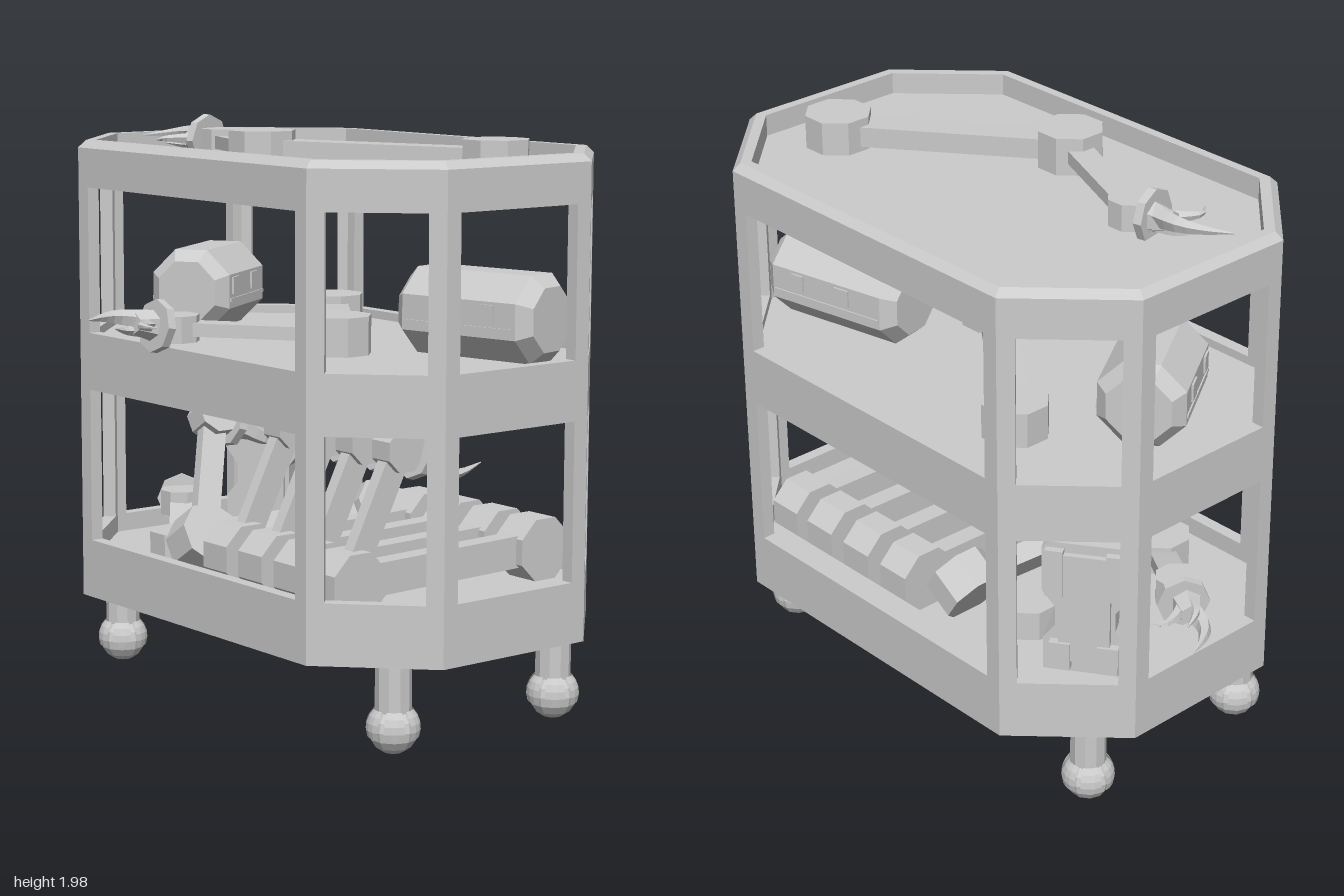
import * as THREE from 'three';

const mat = new THREE.MeshStandardMaterial({ color: 0xcccccc, flatShading: true, side: THREE.DoubleSide });
const V = (x, y, z) => new THREE.Vector3(x, y, z);
const UP = V(0, 1, 0);

function add(parent, name, geometry, x = 0, y = 0, z = 0) {
  const mesh = new THREE.Mesh(geometry, mat);
  mesh.name = name;
  mesh.position.set(x, y, z);
  parent.add(mesh);
  return mesh;
}

function orient(object, x, y, z) {
  object.quaternion.setFromRotationMatrix(new THREE.Matrix4().makeBasis(x, y, z));
}

// Chamfered rectangle outline of the cabinet, counterclockwise, moved inwards by d
function outline(d = 0) {
  const hx = 0.9475 - d, hz = 0.615 - d, c = 0.31 - d * (2 - Math.SQRT2);
  return [[hx, -hz + c], [hx, hz - c], [hx - c, hz], [-hx + c, hz],
    [-hx, hz - c], [-hx, -hz + c], [-hx + c, -hz], [hx - c, -hz]].map(p => new THREE.Vector2(...p));
}

// Skin through cabinet outlines given as [inset, height]
function loftOutline(steps) {
  const pos = [], index = [];
  steps.forEach(([d, y]) => outline(d).forEach(p => pos.push(p.x, y, -p.y)));
  for (let r = 0; r < steps.length - 1; r++) {
    for (let i = 0; i < 8; i++) {
      const a = r * 8 + i, b = r * 8 + (i + 1) % 8;
      index.push(a, b, a + 8, b, b + 8, a + 8);
    }
  }
  const g = new THREE.BufferGeometry();
  g.setAttribute('position', new THREE.Float32BufferAttribute(pos, 3));
  g.setIndex(index);
  g.computeVertexNormals();
  return g;
}

function rect(path, x0, y0, x1, y1) {
  path.moveTo(x0, y0).lineTo(x1, y0).lineTo(x1, y1).lineTo(x0, y1).closePath();
  return path;
}

function cabinet() {
  const g = new THREE.Group();
  g.name = 'cabinet';
  g.position.set(0.0175, 0, -0.16);
  const T = 0.045, m = 0.057, pts = outline();
  // Eight wall panels, each with two windows
  pts.forEach((p, i) => {
    const q = pts[(i + 1) % 8];
    const a = V(p.x, 0, -p.y), b = V(q.x, 0, -q.y);
    const h = a.distanceTo(b) / 2, t = b.clone().sub(a).normalize();
    const n = t.clone().cross(UP);
    const s = rect(new THREE.Shape(), -h, 0.31, h, 1.89);
    for (const [y0, y1] of [[0.515, 1.05], [1.25, 1.755]]) {
      s.holes.push(rect(new THREE.Path(), -h + m, y0, h - m, y1));
    }
    const wall = add(g, 'wallPanel', new THREE.ExtrudeGeometry(s, { depth: T, bevelEnabled: false }));
    orient(wall, t, UP, n);
    wall.position.copy(a.add(b).multiplyScalar(0.5).addScaledVector(n, -T));
  });
  add(g, 'topRim', loftOutline([[0, 1.89], [0.025, 1.915], [0.06, 1.915], [0.06, 1.8]]));
  // Bottom, middle and top shelves
  for (const [y0, y1, d] of [[0.31, 0.45, 0.002], [1.08, 1.22, 0.03], [1.78, 1.84, 0.03]]) {
    const shelf = new THREE.ExtrudeGeometry(new THREE.Shape(outline(d)), { depth: y1 - y0, bevelEnabled: false });
    add(g, 'shelf', shelf.rotateX(-Math.PI / 2), 0, y0, 0);
  }
  return g;
}

// Leg ending in a ball wheel wrapped by curved plates
function leg(x, z) {
  const g = new THREE.Group();
  g.name = 'leg';
  g.position.set(x, 0, z);
  add(g, 'legPost', new THREE.CylinderGeometry(0.06, 0.06, 0.2, 10), 0, 0.23, 0);
  add(g, 'wheelBall', new THREE.SphereGeometry(0.083, 10, 8), 0, 0.09, 0);
  for (let i = 0; i < 6; i++) {
    add(g, 'wheelPlate', new THREE.SphereGeometry(0.089, 3, 4, i * Math.PI / 3, 0.8, 0.8, 1.1), 0, 0.095, 0);
  }
  return g;
}

// Tapered curved claw
function claw(points, r) {
  const curve = new THREE.CatmullRomCurve3(points.map(p => V(...p)));
  const n = 8, sides = 5, g = new THREE.TubeGeometry(curve, n, r, sides), pos = g.attributes.position;
  for (let k = 0; k < pos.count; k++) {
    const t = Math.floor(k / (sides + 1)) / n;
    const v = V(0, 0, 0).fromBufferAttribute(pos, k).lerp(curve.getPointAt(t), t * 0.95);
    pos.setXYZ(k, v.x, v.y, v.z);
  }
  g.computeVertexNormals();
  return g;
}

// Hand with a round wrist plate; dir points forwards, side points to the thumb
function hand(pos, dir, side) {
  const g = new THREE.Group();
  g.name = 'hand';
  const z = dir.clone().normalize();
  const y = z.clone().cross(side).normalize();
  orient(g, y.clone().cross(z), y, z);
  g.position.copy(pos);
  add(g, 'wristPlate', new THREE.CylinderGeometry(0.09, 0.09, 0.03, 8).rotateX(Math.PI / 2));
  add(g, 'palm', new THREE.CylinderGeometry(0.035, 0.055, 0.08, 6).rotateX(Math.PI / 2), -0.01, 0, 0.045);
  add(g, 'longClaw', claw([[-0.01, 0.01, 0.02], [-0.045, 0.015, 0.13], [-0.03, 0.01, 0.2], [0.02, 0, 0.29]], 0.042));
  add(g, 'shortClaw', claw([[-0.02, -0.015, 0.02], [-0.02, -0.025, 0.11], [0.02, -0.02, 0.18]], 0.03));
  add(g, 'thumbClaw', claw([[0, 0, 0.02], [0.045, 0, 0.09], [0.09, 0, 0.125], [0.15, 0, 0.1]], 0.028));
  return g;
}

// Folding arm: joints turn about the given axis
function arm({ shoulder, elbow, wrist, axis = UP, dir, side }) {
  const g = new THREE.Group();
  g.name = 'foldingArm';
  axis = axis.clone().normalize();
  const turn = new THREE.Quaternion().setFromUnitVectors(UP, axis);
  const joint = (name, p, r, h) => {
    const mesh = add(g, name, new THREE.CylinderGeometry(r, r, h, 8).rotateY(Math.PI / 8), p.x, p.y, p.z);
    mesh.quaternion.copy(turn);
  };
  const bar = (name, a, b, w, h) => {
    const z = b.clone().sub(a), len = z.length();
    z.normalize();
    const x = axis.clone().cross(z).normalize();
    const mesh = add(g, name, new THREE.BoxGeometry(w, h, len));
    orient(mesh, x, z.clone().cross(x), z);
    mesh.position.copy(a).lerp(b, 0.5);
  };
  joint('shoulderJoint', shoulder, 0.115, 0.13);
  joint('elbowJoint', elbow, 0.115, 0.13);
  joint('wristJoint', wrist, 0.08, 0.09);
  bar('upperArm', shoulder, elbow, 0.11, 0.07);
  bar('forearm', elbow, wrist, 0.09, 0.045);
  g.add(hand(wrist.clone().addScaledVector(dir.clone().normalize(), 0.08), dir, side));
  return g;
}

// Eight-sided canister lying on its side, with bevelled ends and latches
function canister(x, z, length, yaw) {
  const g = new THREE.Group();
  g.name = 'canister';
  g.position.set(x, 1.372, z);
  g.rotation.y = yaw;
  const h = length / 2, R = 0.157;
  const profile = [[0, -h], [0.115, -h], [R, -h + 0.045], [R, h - 0.045], [0.115, h], [0, h]];
  const shell = new THREE.LatheGeometry(profile.map(p => new THREE.Vector2(...p)), 8, Math.PI / 8);
  add(g, 'canisterShell', shell.rotateZ(-Math.PI / 2));
  for (const s of [-1, 1]) {
    add(g, 'latch', new THREE.BoxGeometry(0.06, 0.06, 0.012), -0.07, 0.02, s * 0.146);
    add(g, 'latch', new THREE.BoxGeometry(0.05, 0.06, 0.012), 0.12, 0.02, s * 0.146);
    add(g, 'seam', new THREE.BoxGeometry(length - 0.1, 0.012, 0.008), 0, -0.03, s * 0.146);
  }
  return g;
}

// Upright pack with a narrow waist, side pads and pouches
function pack() {
  const g = new THREE.Group();
  g.name = 'pack';
  g.position.set(-0.65, 0.45, -0.4);
  g.rotation.y = Math.PI + 0.6;
  const half = [[0.14, 0], [0.14, 0.12], [0.1, 0.17], [0.1, 0.24], [0.145, 0.3], [0.145, 0.46], [0.12, 0.485]];
  const pts = [...half, ...half.map(([x, y]) => [-x, y]).reverse()].map(p => new THREE.Vector2(...p));
  add(g, 'packBody', new THREE.ExtrudeGeometry(new THREE.Shape(pts), { depth: 0.16, bevelEnabled: false }), 0, 0, -0.08);
  add(g, 'packCore', new THREE.BoxGeometry(0.17, 0.4, 0.2), 0, 0.25, 0);
  for (const s of [-1, 1]) {
    add(g, 'sidePad', new THREE.BoxGeometry(0.06, 0.17, 0.03), s * 0.1, 0.38, 0.09);
    add(g, 'pouch', new THREE.BoxGeometry(0.07, 0.1, 0.04), s * 0.08, 0.07, 0.09);
  }
  return g;
}

export function createModel() {
  const model = new THREE.Group();
  model.name = 'equipmentCart';
  model.add(cabinet());
  for (const x of [-0.75, 0.785]) for (const z of [0.2, -0.5]) model.add(leg(x, z));

  // Arms lying on the top tray, the middle shelf and the bottom shelf
  model.add(arm({ shoulder: V(0.69, 1.89, -0.3), elbow: V(0.035, 1.905, 0.155), wrist: V(-0.46, 1.9, -0.05),
    dir: V(-1, 0.02, 0.2), side: V(0.2, 0, 1) }));
  model.add(arm({ shoulder: V(-0.37, 1.275, -0.47), elbow: V(0.25, 1.295, 0), wrist: V(-0.12, 1.31, 0.4),
    dir: V(0, 0.15, 1), side: V(1, 0, 0) }));
  model.add(arm({ shoulder: V(-0.35, 0.49, -0.4), elbow: V(-0.36, 0.49, 0.21), wrist: V(-0.68, 0.58, -0.02),
    dir: V(-0.8, -0.05, -0.55), side: V(0.55, 0, -0.8) }));

  // Row of folded arms standing on the bottom shelf, the last one leaning over
  for (const x of [0.02, 0.215, 0.41, 0.6]) {
    model.add(arm({ shoulder: V(x, 0.555, -0.57), elbow: V(x, 0.54, 0.24), wrist: V(x, 0.96, 0.03),
      axis: V(1, 0, 0), dir: V(0, -0.3, -1), side: V(0, 1, 0) }));
  }
  model.add(arm({ shoulder: V(-0.15, 0.56, -0.5), elbow: V(-0.19, 0.55, 0.24), wrist: V(-0.42, 0.93, 0.03),
    axis: V(0.84, 0.54, 0), dir: V(0.1, -0.3, -1), side: V(-0.54, 0.84, 0) }));

  model.add(canister(0.585, -0.35, 0.55, 0.21));
  model.add(canister(-0.62, -0.1, 0.43, -1.0));
  model.add(pack());
  return model;
}
